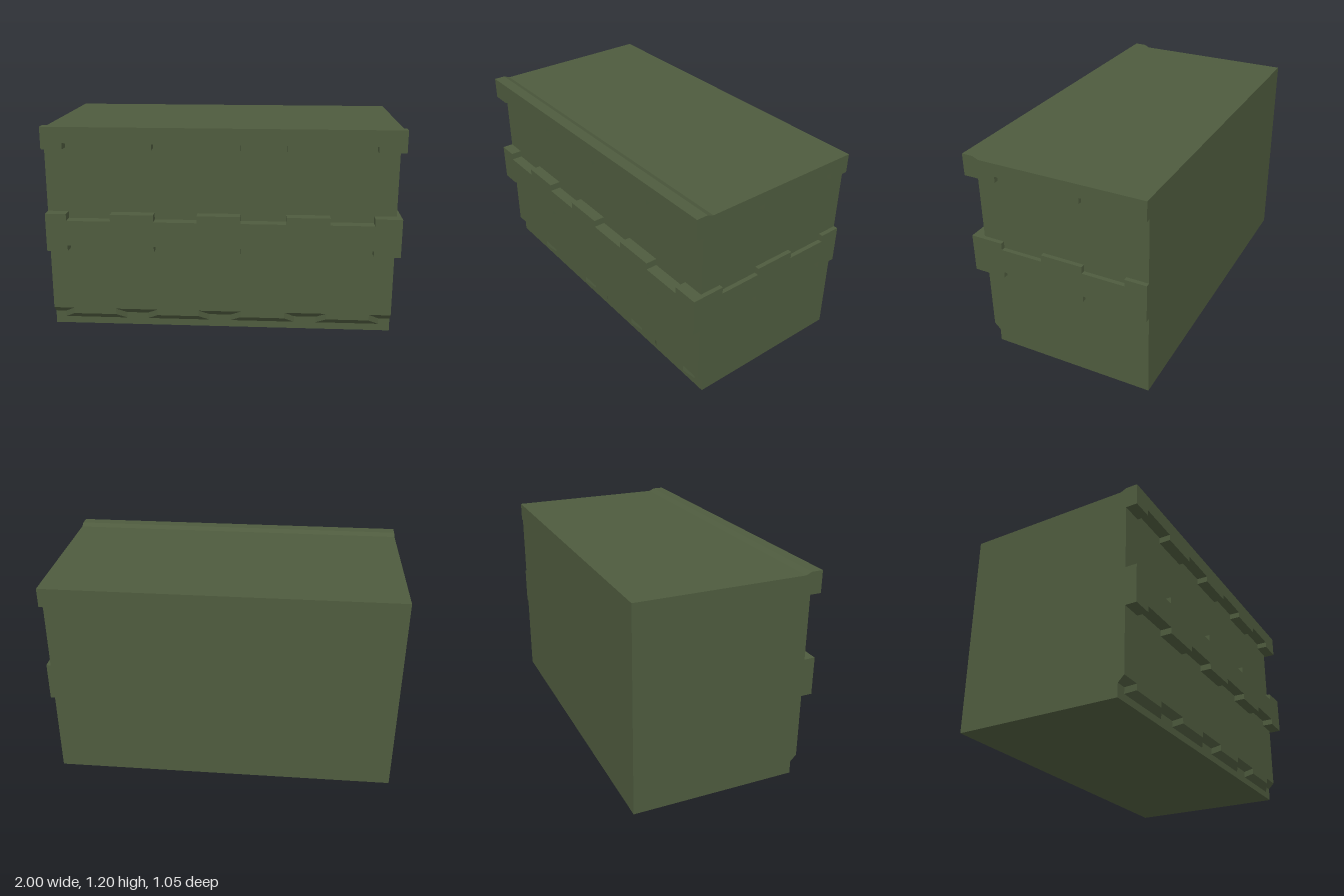
import * as THREE from 'three';

// Corners of the square teeth along the front (x) and along the side (-z)
const FRONT_CUTS = [-0.88, -0.63, -0.385, -0.14, 0.105, 0.36, 0.605, 0.85];
const SIDE_CUTS = [-0.34, -0.09, 0.155, 0.4];

export function createModel() {
  const model = new THREE.Group();
  model.name = 'plankedBlock';
  const green = new THREE.MeshStandardMaterial({ color: 0x4e5b3e });
  green.name = 'mossGreen';

  const add = (name, geometry, x = 0, y = 0, z = 0) => {
    const mesh = new THREE.Mesh(geometry, green);
    mesh.name = name;
    mesh.position.set(x, y, z);
    model.add(mesh);
    return mesh;
  };

  // Edge from a to b that steps between heights y0 and y1 at every cut
  const toothedEdge = (a, b, cuts, y0, y1) => {
    const points = [[a, y0]];
    cuts.forEach((c, i) => {
      points.push([c, i % 2 ? y1 : y0], [c, i % 2 ? y0 : y1]);
    });
    points.push([b, y0]);
    return points;
  };

  const extrude = (points, depth) => new THREE.ExtrudeGeometry(
    new THREE.Shape(points.map(([x, y]) => new THREE.Vector2(x, y))),
    { depth, bevelEnabled: false });

  // Main block
  add('body', new THREE.BoxGeometry(1.975, 1.185, 0.955), -0.0125, 0.5925, -0.0475);

  // Front facing, with its toothed lower edge bevelled back to the body
  const facing = extrude([
    ...toothedEdge(-1, 0.975, FRONT_CUTS, 0.11, 0.075),
    [0.975, 1.185], [-1, 1.185],
  ], 0.035);
  const p = facing.attributes.position;
  for (let i = 0; i < p.count; i++) {
    if (p.getY(i) > 0.5 || p.getZ(i) > 0.01) continue;
    const cut = FRONT_CUTS.findIndex((c) => Math.abs(c - p.getX(i)) < 0.001);
    if (cut >= 0) p.setX(i, p.getX(i) + (cut % 2 ? 0.06 : -0.06));
    p.setY(i, p.getY(i) - 0.035);
  }
  facing.computeVertexNormals();
  add('frontFacing', facing, 0, 0, 0.43);

  // Raised bands wrapping the front and the left side
  const band = (name, a, b, cuts, top, depth) => {
    const lower = name.startsWith('top')
      ? toothedEdge(a, b, cuts, 1.075, 1.11)
      : toothedEdge(a, b, cuts, 0.485, 0.52);
    const upper = name.startsWith('top')
      ? [[a, top], [b, top]]
      : toothedEdge(a, b, cuts, 0.705, 0.665);
    return add(name, extrude([...lower, ...upper.reverse()], depth));
  };
  for (const level of ['top', 'middle']) {
    band(level + 'FrontBand', -1, 1, FRONT_CUTS, 1.2, 0.065).position.z = 0.465;
    const side = band(level + 'SideBand', -0.465, 0.525, SIDE_CUTS, 1.185, 0.025);
    side.rotation.y = Math.PI / 2;
    side.position.x = 0.975;
  }

  // Slope behind the raised front lip
  const slope = add('lipSlope',
    extrude([[-0.465, 1.185], [-0.43, 1.185], [-0.465, 1.2]], 2), -1);
  slope.rotation.y = Math.PI / 2;

  return model;
}
